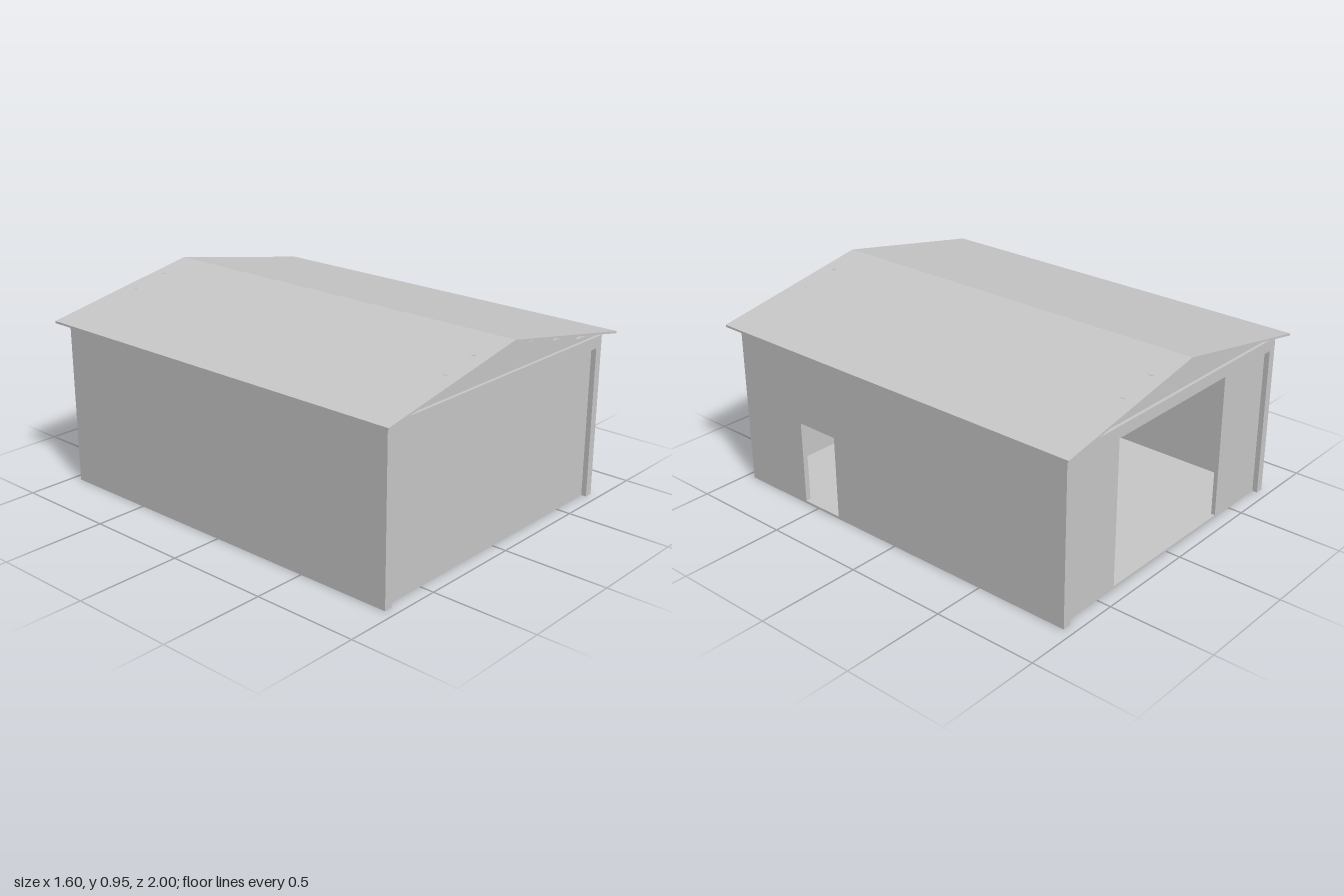
import * as THREE from 'three';

export function createModel() {
  const model = new THREE.Group();
  model.name = 'shed';
  const grey = new THREE.MeshStandardMaterial({ color: 0xc8c8c8 });
  grey.name = 'pale grey';

  const add = (name, geometry) => {
    const mesh = new THREE.Mesh(geometry, grey);
    mesh.name = name;
    model.add(mesh);
    return mesh;
  };
  // Box given by its minimum and maximum corners
  const box = (name, x0, x1, y0, y1, z0, z1) => {
    const g = new THREE.BoxGeometry(x1 - x0, y1 - y0, z1 - z0);
    g.translate((x0 + x1) / 2, (y0 + y1) / 2, (z0 + z1) / 2);
    return add(name, g);
  };
  const polygon = pts => new THREE.Shape(pts.map(p => new THREE.Vector2(p[0], p[1])));

  // Floor slab
  box('floor', -0.75, 0.75, 0, 0.012, -0.93, 0.93);

  // Side walls; the left one has an open doorway
  box('rightWall', -0.75, -0.725, 0, 0.785, -0.955, 0.955);
  const wall = polygon([[-0.955, 0], [-0.58, 0], [-0.58, 0.415], [-0.36, 0.415],
    [-0.36, 0], [0.955, 0], [0.955, 0.785], [-0.955, 0.785]]);
  const wallGeometry = new THREE.ExtrudeGeometry(wall, { depth: 0.025, bevelEnabled: false });
  wallGeometry.rotateY(Math.PI / 2);
  wallGeometry.translate(0.725, 0, 0);
  add('leftWall', wallGeometry);

  // Gable roof, one thin bent sheet
  const roof = polygon([[-0.8, 0.79], [0, 0.94], [0.8, 0.79], [0.8, 0.8], [0, 0.95], [-0.8, 0.8]]);
  const roofGeometry = new THREE.ExtrudeGeometry(roof, { depth: 2, bevelEnabled: false });
  roofGeometry.translate(0, 0, -1);
  add('roof', roofGeometry);

  // End frames: corner posts, lintel and stepped gable boards
  const steps = [[0.75, 0.785, 0.803], [0.56, 0.803, 0.842], [0.375, 0.842, 0.881], [0.19, 0.881, 0.916]];
  for (const s of [-1, 1]) {
    const span = (a, b) => [Math.min(s * a, s * b), Math.max(s * a, s * b)];
    for (const t of [-1, 1]) {
      const x = [Math.min(t * 0.71, t * 0.75), Math.max(t * 0.71, t * 0.75)];
      box('cornerPost', x[0], x[1], 0, 0.785, ...span(0.905, 0.955));
    }
    box('lintel', -0.71, 0.71, 0.73, 0.785, ...span(0.905, 0.955));
    for (const [w, y0, y1] of steps) box('gableBoard', -w, w, y0, y1, ...span(0.92, 0.94));
  }

  // Front doors closed, back doors slid open
  for (const s of [-1, 1]) {
    const panel = (name, a, b, z0, z1) =>
      box(name, Math.min(s * a, s * b), Math.max(s * a, s * b), 0.005, 0.735, z0, z1);
    panel('frontDoor', 0, 0.715, 0.91, 0.93);
    panel('backDoor', 0.385, 0.715, -0.93, -0.91);
  }

  // Middle frame
  box('middleBeam', -0.725, 0.725, 0.69, 0.75, -0.045, 0.005);
  box('middleColumn', -0.725, -0.675, 0.012, 0.75, -0.045, 0.005);
  box('middleColumn', 0.675, 0.725, 0.012, 0.75, -0.045, 0.005);

  // Shelf rack along the left wall
  for (let i = 0; i < 5; i++) {
    const y = 0.025 + i * 0.125;
    box('shelf', 0.59, 0.72, y, y + 0.012, -0.86, -0.25);
  }
  for (const x of [0.59, 0.708]) for (const z of [-0.86, -0.262]) {
    box('shelfPost', x, x + 0.012, 0.012, 0.537, z, z + 0.012);
  }

  // Crates by the right wall
  box('lowCrate', -0.7, -0.42, 0.012, 0.16, 0.2, 0.51);
  box('tallCrate', -0.7, -0.42, 0.012, 0.2, 0.56, 0.82);

  return model;
}
